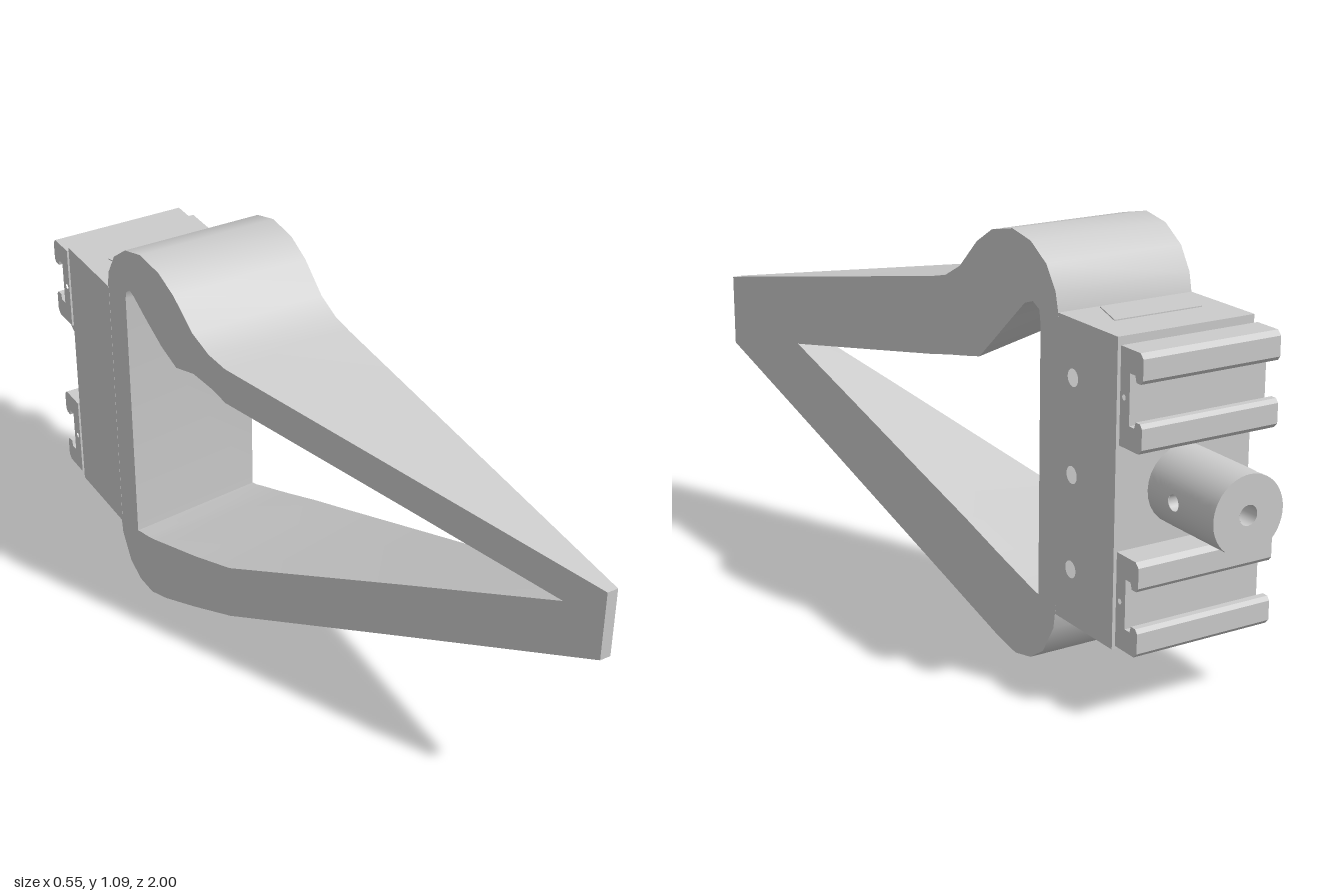
import * as THREE from 'three';
import { toCreasedNormals } from 'three/addons/utils/BufferGeometryUtils.js';
import { ParametricGeometry } from 'three/addons/geometries/ParametricGeometry.js';

const MID = 0.54, X0 = -0.275, X1 = 0.11, AXIS = -0.08;
const solid = new THREE.MeshStandardMaterial({ color: 0xcccccc });
const thin = new THREE.MeshStandardMaterial({ color: 0xcccccc, side: THREE.DoubleSide });

function add(parent, name, geometry, material = solid) {
  const mesh = new THREE.Mesh(geometry, material);
  mesh.name = name;
  parent.add(mesh);
  return mesh;
}

// Extrudes a (z, y) outline with round holes along x, from x0 to x1
function extrudeX(points, x0, x1, holes = []) {
  const shape = new THREE.Shape(points.map(([z, y]) => new THREE.Vector2(-z, y)));
  for (const [z, y, r] of holes) {
    shape.holes.push(new THREE.Path().absarc(-z, y, r, 0, Math.PI * 2, true));
  }
  const g = new THREE.ExtrudeGeometry(shape, { depth: x1 - x0, bevelEnabled: false, curveSegments: 16 });
  return toCreasedNormals(g.rotateY(Math.PI / 2).translate(x0, 0, 0), 0.6);
}

// Frame arm: a four-cornered section carried round the triangular opening.
// Each row: outer z, y | opening on the +x side z, y | opening on the -x side z, y
const ARM = [
  [1, 0.71, 0.65, 0.585, 0.9, 0.635],
  [0.5, 0.81, 0.4, 0.631, 0.5, 0.714],
  [0, 0.91, 0, 0.705, 0, 0.81],
  [-0.06, 0.925, -0.07, 0.72, -0.05, 0.828],
  [-0.12, 0.96, -0.14, 0.733, -0.12, 0.84],
  [-0.19, 1.035, -0.2, 0.745, -0.19, 0.825],
  [-0.25, 1.075, -0.26, 0.803, -0.25, 0.86],
  [-0.33, 1.092, -0.32, 0.862, -0.32, 0.915],
  [-0.4, 1.075, -0.38, 0.92, -0.37, 0.955],
  [-0.46, 1.03, -0.41, 0.93, -0.39, 0.965],
  [-0.495, 0.97, -0.435, 0.915, -0.405, 0.95],
  [-0.51, 0.9, -0.44, 0.88, -0.41, 0.93],
  [-0.51, 0.2, -0.44, 0.21, -0.41, 0.2],
  [-0.5, 0.12, -0.44, 0.19, -0.41, 0.18],
  [-0.46, 0.045, -0.42, 0.195, -0.39, 0.185],
  [-0.41, 0.01, -0.38, 0.21, -0.36, 0.19],
  [-0.35, 0, -0.33, 0.228, -0.32, 0.2],
  [-0.28, 0.02, -0.27, 0.25, -0.27, 0.215],
  [-0.15, 0.07, -0.14, 0.3, -0.14, 0.25],
  [0, 0.128, 0, 0.35, 0, 0.29],
  [0.5, 0.32, 0.4, 0.495, 0.5, 0.483],
  [1, 0.51, 0.65, 0.585, 0.9, 0.635],
];

// Flat +x side; -x side runs straight, then bends into the block
const sideRight = (z) => X1 + 0.106 * (z + 0.51);
const sideLeft = (z) => (z > 0 ? -0.2 + 0.44 * z : X0 + 0.075 * ((z + 0.51) / 0.51) ** 1.6);

function armGeometry() {
  const pos = [], index = [], n = ARM.length;
  for (const [oz, oy, rz, ry, lz, ly] of ARM) {
    pos.push(sideRight(oz), oy, oz, sideRight(rz), ry, rz);
    pos.push(sideLeft(lz), ly, lz, sideLeft(oz), oy, oz);
  }
  for (let i = 0; i < n; i++) {
    for (let j = 0; j < 4; j++) {
      const i2 = (i + 1) % n, j2 = (j + 1) % 4;
      const a = i * 4 + j, b = i * 4 + j2, c = i2 * 4 + j2, d = i2 * 4 + j;
      index.push(a, b, d, b, c, d);
    }
  }
  const g = new THREE.BufferGeometry();
  g.setAttribute('position', new THREE.Float32BufferAttribute(pos, 3));
  g.setIndex(index);
  return toCreasedNormals(g, 0.65);
}

// Half of the shaft wall, stretched from the cross hole out to a wrapped rectangle
function shaftHalf(side, R, holeR, holeZ) {
  return new ParametricGeometry((u, v, target) => {
    const t = u * Math.PI * 2, c = Math.cos(t), s = Math.sin(t), m = Math.max(Math.abs(c), Math.abs(s));
    const angle = THREE.MathUtils.lerp((holeR / R) * c, (Math.PI / 2) * c / m, v);
    const z = THREE.MathUtils.lerp(holeZ + holeR * s, -0.875 + 0.125 * s / m, v);
    target.set(AXIS + side * R * Math.cos(angle), MID + side * R * Math.sin(angle), z);
  }, 48, 12);
}

export function createModel() {
  const model = new THREE.Group();
  model.name = 'bracket';
  add(model, 'frameArm', armGeometry());

  // Mounting block with three counterbored cross holes
  const block = new THREE.Group();
  block.name = 'mountingBlock';
  model.add(block);
  const outline = [[-0.5, 0.16], [-0.5, 0.922], [-0.75, 0.922], [-0.75, 0.16]];
  const holes = (r) => [0.3, MID, 0.78].map((y) => [-0.57, y, r]);
  add(block, 'blockBody', extrudeX(outline, X0 + 0.04, X1, holes(0.022)));
  add(block, 'counterboredSide', extrudeX(outline, X0, X0 + 0.04, holes(0.042)));

  // Dovetail keys just proud of the top and bottom of the block
  const key = new THREE.Shape([[-0.21, 0.635], [-0.17, 0.515], [-0.0, 0.515], [0.04, 0.635]]
    .map(([x, z]) => new THREE.Vector2(x, z)));
  for (const y of [0.92, 0.157]) {
    const g = new THREE.ExtrudeGeometry(key, { depth: 0.005, bevelEnabled: false });
    add(block, 'dovetailKey', g.rotateX(-Math.PI / 2).translate(0, y, 0));
  }

  // Two slotted rails on thin spacers
  const half = [[-0.763, 0.118], [-0.838, 0.118], [-0.85, 0.106], [-0.85, 0.056], [-0.842, 0.046],
    [-0.825, 0.046], [-0.82, 0.062], [-0.8, 0.062]];
  for (const side of [-1, 1]) {
    const y = MID + side * 0.2475;
    const profile = [...half, ...half.map(([z, h]) => [z, -h]).reverse()].map(([z, h]) => [z, y + h]);
    const rail = new THREE.Group();
    rail.name = 'rail';
    model.add(rail);
    add(rail, 'railBody', extrudeX(profile, X0, X1, [[-0.778, y, 0.007]]));
    const spacer = new THREE.BoxGeometry(0.26, 0.2, 0.025);
    add(rail, 'railSpacer', spacer).position.set(AXIS, y, -0.757);
  }

  // Shaft with a cross hole and a bored end
  const R = 0.098, shaft = new THREE.Group();
  shaft.name = 'shaft';
  model.add(shaft);
  for (const side of [-1, 1]) add(shaft, 'shaftWall', shaftHalf(side, R, 0.02, -0.85), thin);
  const cross = new THREE.CylinderGeometry(0.02, 0.02, 2 * R - 0.004, 24, 1, true).rotateZ(Math.PI / 2);
  add(shaft, 'crossHole', cross, thin).position.set(AXIS, MID, -0.85);
  add(shaft, 'endFace', new THREE.RingGeometry(0.025, R, 48), thin).position.set(AXIS, MID, -1);
  const bore = new THREE.CylinderGeometry(0.025, 0.025, 0.12, 24, 1, true).rotateX(Math.PI / 2);
  add(shaft, 'endBore', bore, thin).position.set(AXIS, MID, -0.94);
  add(shaft, 'boreFloor', new THREE.CircleGeometry(0.025, 24), thin).position.set(AXIS, MID, -0.88);
  return model;
}
